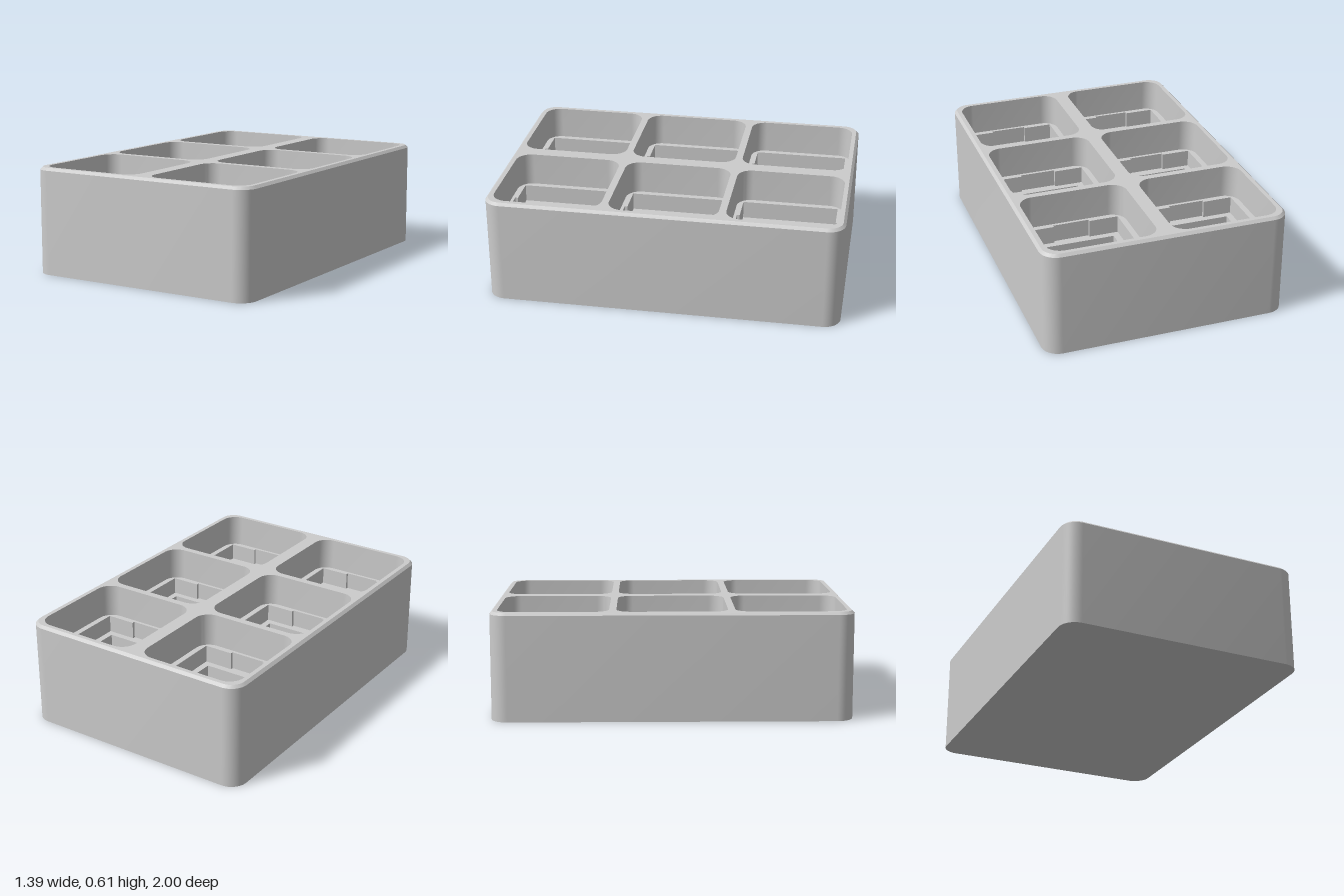
import * as THREE from 'three';
import { mergeGeometries, toCreasedNormals } from 'three/addons/utils/BufferGeometryUtils.js';

// Heights of the levels, from the rim down to the pin hole bottoms
const TOP = 0.605, BEVEL = 0.015, POCKET_Y = 0.415, LEDGE_Y = 0.315, FLOOR_Y = 0.146, HOLE_Y = 0.035;

const material = new THREE.MeshStandardMaterial({ color: 0xcccccc });

// Loops run counter-clockwise in plan; plan (x, y) becomes world (x, -z)
function roundedRect(cx, cy, hw, hh, r, seg = 12) {
  const corners = [[1, 1], [-1, 1], [-1, -1], [1, -1]];
  return corners.flatMap(([sx, sy], k) => Array.from({ length: seg + 1 }, (_, i) => {
    const a = (k + i / seg) * Math.PI / 2;
    return new THREE.Vector2(cx + sx * (hw - r) + r * Math.cos(a), cy + sy * (hh - r) + r * Math.sin(a));
  }));
}

function circle(cx, cy, r, seg = 40) {
  return Array.from({ length: seg }, (_, i) => {
    const a = i / seg * Math.PI * 2;
    return new THREE.Vector2(cx + r * Math.cos(a), cy + r * Math.sin(a));
  });
}

const square = (cx, cy, h) =>
  [[h, -h], [h, h], [-h, h], [-h, -h]].map(([x, y]) => new THREE.Vector2(cx + x, cy + y));

// Square with a shallow notch in its front and back sides
function notchedSquare(cx, cy) {
  const h = 0.273, n = 0.104, d = 0.289;
  const half = [[h, -h], [h, h], [n, h], [n, d], [-n, d], [-n, h]];
  return [...half, ...half.map(([x, y]) => [-x, -y])]
    .map(([x, y]) => new THREE.Vector2(cx + x, cy + y));
}

// Wall between two loops: bottom to top faces out, top to bottom faces in
function wall(a, ya, b, yb) {
  const pos = [];
  a.forEach((_, i) => {
    const j = (i + 1) % a.length;
    const p = [a[i].x, ya, -a[i].y], q = [a[j].x, ya, -a[j].y];
    const r = [b[j].x, yb, -b[j].y], s = [b[i].x, yb, -b[i].y];
    pos.push(...p, ...q, ...r, ...p, ...r, ...s);
  });
  return new THREE.BufferGeometry().setAttribute('position', new THREE.Float32BufferAttribute(pos, 3));
}

// Flat level surface with openings
function level(loop, holes, y, down = false) {
  const shape = new THREE.Shape(loop);
  shape.holes = holes.map((h) => new THREE.Path(h));
  const geo = new THREE.ShapeGeometry(shape).toNonIndexed();
  geo.deleteAttribute('uv');
  geo.deleteAttribute('normal');
  return geo.rotateX(down ? Math.PI / 2 : -Math.PI / 2).translate(0, y, 0);
}

function part(name, geos) {
  const mesh = new THREE.Mesh(toCreasedNormals(mergeGeometries(geos), 0.5), material);
  mesh.name = name;
  return mesh;
}

// One stepped socket; side mirrors the pin hole layout
function createSocket(cx, cy, side) {
  const pocket = roundedRect(cx, cy, 0.307, 0.307, 0.085);
  const recess = notchedSquare(cx, cy);
  const well = square(cx, cy, 0.236);
  const holes = [
    [0, 0, 0.088, 0.074],
    [-0.173, 0, 0.045, 0.033], [0.173, 0, 0.045, 0.033],
    [side * 0.128, 0.086, 0.045, 0.033], [-side * 0.086, 0.171, 0.045, 0.033],
  ].map(([x, y, outer, inner]) => [circle(cx + x, cy + y, outer), circle(cx + x, cy + y, inner)]);

  const socket = new THREE.Group();
  socket.name = 'socket';
  socket.add(
    part('pocket', [wall(pocket, TOP, pocket, POCKET_Y), level(pocket, [recess], POCKET_Y)]),
    part('notchedRecess', [wall(recess, POCKET_Y, recess, LEDGE_Y), level(recess, [well], LEDGE_Y)]),
    part('well', [wall(well, LEDGE_Y, well, FLOOR_Y), level(well, holes.map((h) => h[0]), FLOOR_Y)]),
    part('pinHoles', holes.flatMap(([outer, inner]) => [
      wall(outer, FLOOR_Y, inner, FLOOR_Y - 0.015),
      wall(inner, FLOOR_Y - 0.015, inner, HOLE_Y),
      level(inner, [], HOLE_Y),
    ])),
  );
  return { socket, pocket };
}

export function createModel() {
  const model = new THREE.Group();
  model.name = 'socketBlock';

  // Two columns by three rows of sockets
  const openings = [];
  for (const side of [-1, 1]) {
    for (const row of [-1, 0, 1]) {
      const { socket, pocket } = createSocket(side * 0.348, row * 0.654, side);
      model.add(socket);
      openings.push(pocket);
    }
  }

  // Outer block with rounded corners and a bevelled top edge
  const outline = roundedRect(0, 0, 0.695, 1, 0.095);
  const rim = roundedRect(0, 0, 0.695 - BEVEL, 1 - BEVEL, 0.095 - BEVEL);
  model.add(
    part('outerWall', [wall(outline, 0, outline, TOP - BEVEL), wall(outline, TOP - BEVEL, rim, TOP)]),
    part('topRim', [level(rim, openings, TOP)]),
    part('base', [level(outline, [], 0, true)]),
  );
  return model;
}
